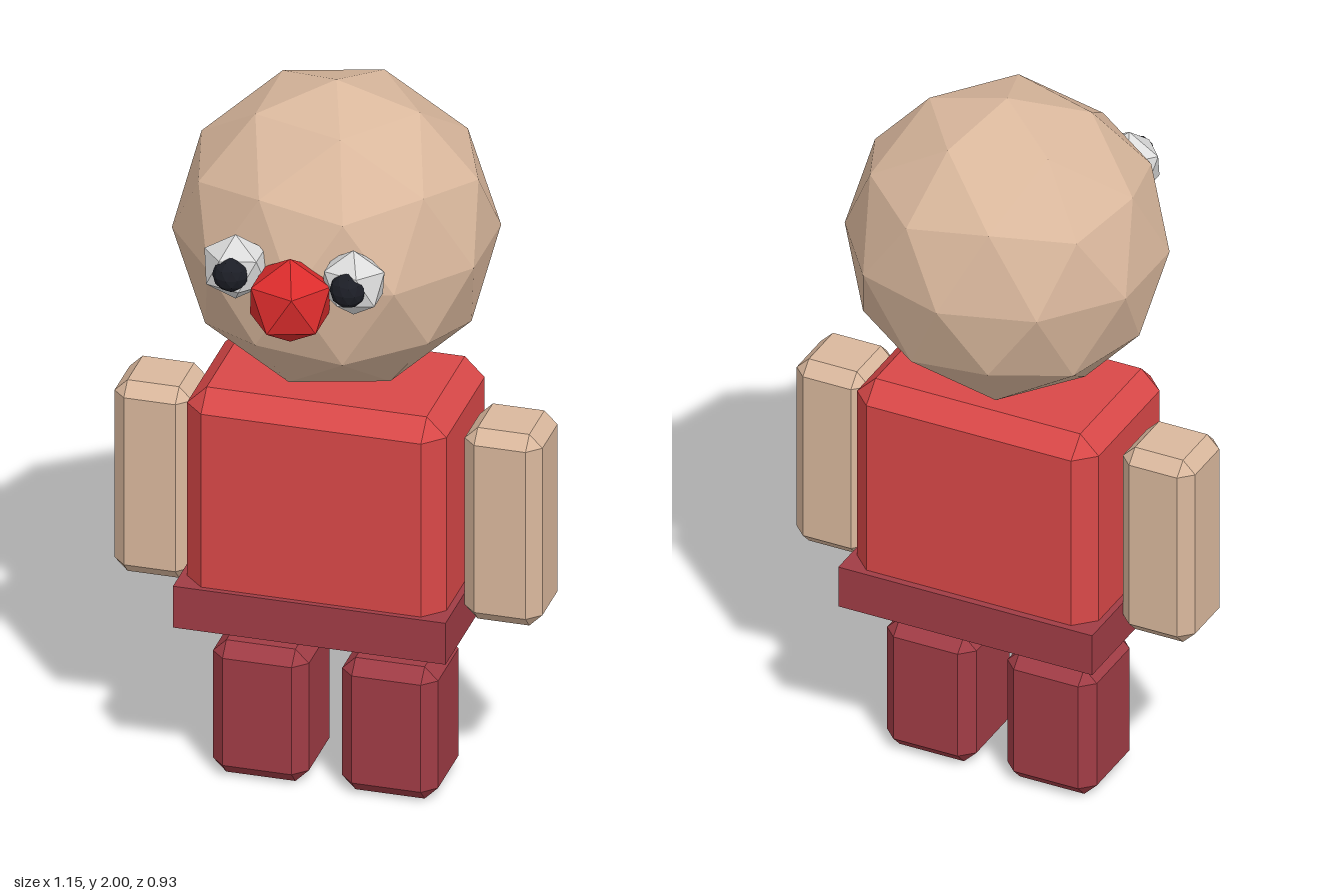
import * as THREE from 'three';
import { ConvexGeometry } from 'three/addons/geometries/ConvexGeometry.js';

function flat(name, color) {
  const m = new THREE.MeshStandardMaterial({ color, flatShading: true });
  m.name = name;
  return m;
}

// Box between two corners with every edge cut off at 45 degrees
function chamferBox(w, h, d, c) {
  const points = [];
  for (const x of [-1, 1]) for (const y of [-1, 1]) for (const z of [-1, 1]) {
    const [a, b, e] = [w / 2, h / 2, d / 2];
    points.push(
      new THREE.Vector3(x * a, y * (b - c), z * (e - c)),
      new THREE.Vector3(x * (a - c), y * b, z * (e - c)),
      new THREE.Vector3(x * (a - c), y * (b - c), z * e));
  }
  return new ConvexGeometry(points);
}

// Faceted ball standing on one of its vertices
function facetedBall(radius, detail, depth = 1) {
  return new THREE.IcosahedronGeometry(radius, detail)
    .rotateZ(-Math.atan(2 / (1 + Math.sqrt(5))))
    .scale(1, 1, depth);
}

export function createModel() {
  const model = new THREE.Group();
  const skin = flat('skin', 0xdab89d);
  const red = flat('shirt red', 0xd94848);
  const maroon = flat('trouser maroon', 0xa03c45);
  const noseRed = flat('nose red', 0xdb2c2c);
  const white = flat('eye white', 0xdcdcdc);
  const black = flat('pupil black', 0x1c1e26);

  function add(name, geometry, material, x, y, z) {
    const mesh = new THREE.Mesh(geometry, material);
    mesh.name = name;
    mesh.position.set(x, y, z);
    model.add(mesh);
    return mesh;
  }

  // Head and nose
  add('head', facetedBall(0.425, 1, 0.955), skin, 0, 1.575, -0.06);
  add('nose', facetedBall(0.12, 0), noseRed, 0, 1.573, 0.365);

  // Body
  add('torso', chamferBox(0.695, 0.7, 0.455, 0.053), red, 0, 0.805, -0.053);
  add('belt', new THREE.BoxGeometry(0.73, 0.12, 0.49), maroon, 0, 0.54, -0.055);

  // Mirrored pairs
  const eye = facetedBall(0.093, 0, 0.8);
  const pupil = facetedBall(0.048, 1);
  const arm = chamferBox(0.208, 0.555, 0.208, 0.035);
  const leg = chamferBox(0.257, 0.383, 0.26, 0.036);
  for (const [side, s] of [['left', 1], ['right', -1]]) {
    add(side + 'Eye', eye, white, s * 0.158, 1.628, 0.325).scale.x = s;
    add(side + 'Pupil', pupil, black, s * 0.157, 1.63, 0.37).scale.x = s;
    add(side + 'Arm', arm, skin, s * 0.469, 0.808, -0.055);
    add(side + 'Leg', leg, maroon, s * 0.173, 0.1925, -0.053);
  }
  return model;
}
